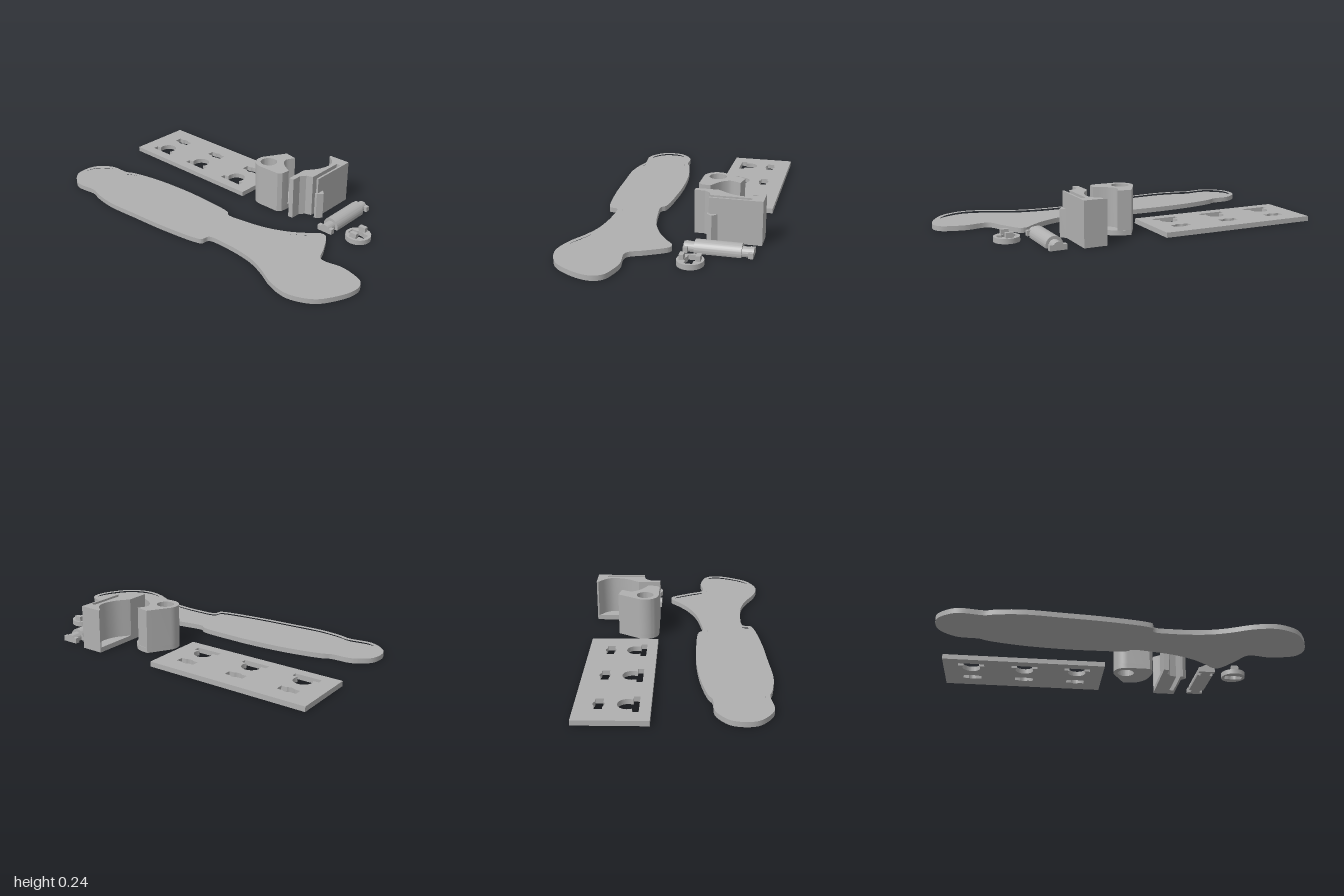
import * as THREE from 'three';
import { toCreasedNormals } from 'three/addons/utils/BufferGeometryUtils.js';

const plastic = new THREE.MeshStandardMaterial({ color: 0xb0b0b0 });
plastic.name = 'grey plastic';

// Plan outlines are written as [x, z]; shapes hold (x, -z).
const toPoints = (plan) => plan.map(([x, z]) => new THREE.Vector2(x, -z));

function mesh(name, geometry) {
  const m = new THREE.Mesh(toCreasedNormals(geometry, 0.6), plastic);
  m.name = name;
  return m;
}

// Extrude a plan outline (with optional holes) upward from y0 to y1.
function slab(name, outline, y0, y1, holes = []) {
  const shape = new THREE.Shape(outline);
  holes.forEach((h) => shape.holes.push(new THREE.Path(h)));
  const g = new THREE.ExtrudeGeometry(shape, { depth: y1 - y0, bevelEnabled: false });
  g.rotateX(-Math.PI / 2);
  g.translate(0, y0, 0);
  return mesh(name, g);
}

function box(name, x0, x1, y0, y1, z0, z1) {
  const g = new THREE.BoxGeometry(x1 - x0, y1 - y0, z1 - z0);
  g.translate((x0 + x1) / 2, (y0 + y1) / 2, (z0 + z1) / 2);
  return mesh(name, g);
}

// Points along an arc in plan; angles in degrees, 90 points to the back (-z).
function arc(cx, cz, r, a0, a1, n = 24) {
  return Array.from({ length: n + 1 }, (_, i) => {
    const a = THREE.MathUtils.degToRad(a0 + ((a1 - a0) * i) / n);
    return [cx + r * Math.cos(a), cz - r * Math.sin(a)];
  });
}

const circle = (cx, cz, r) => toPoints(arc(cx, cz, r, 0, 360, 40).slice(0, -1));

function spline(plan, closed, n) {
  const curve = new THREE.CatmullRomCurve3(
    plan.map(([x, z]) => new THREE.Vector3(x, 0, z)), closed, 'centripetal');
  const pts = curve.getPoints(n).map((p) => [p.x, p.z]);
  return closed ? pts.slice(0, -1) : pts;
}

// Mitred inset of an outline that runs clockwise in plan.
function inset(plan, d) {
  const n = plan.length;
  const normal = (a, b) => {
    const dx = b[0] - a[0], dz = b[1] - a[1], l = Math.hypot(dx, dz);
    return [-dz / l, dx / l];
  };
  return plan.map((p, i) => {
    const a = normal(plan[(i + n - 1) % n], p);
    const b = normal(p, plan[(i + 1) % n]);
    const k = d / Math.max(0.5, 1 + a[0] * b[0] + a[1] * b[1]);
    return [p[0] + (a[0] + b[0]) * k, p[1] + (a[1] + b[1]) * k];
  });
}

// Rectangular slot with a round middle.
function slotHole(cx, cz, w, d, r) {
  const a = THREE.MathUtils.radToDeg(Math.asin(d / r));
  return toPoints([
    [cx + w, cz + d], [cx + w, cz - d], ...arc(cx, cz, r, a, 180 - a, 10),
    [cx - w, cz - d], [cx - w, cz + d], ...arc(cx, cz, r, 180 + a, 360 - a, 10),
  ]);
}

function tray() {
  const g = new THREE.Group();
  g.name = 'handleTray';
  const rim = [
    [-1, 0.32], [-0.985, 0.257], [-0.94, 0.21], [-0.89, 0.183], [-0.78, 0.175], [-0.74, 0.155],
    [-0.557, 0.115], [-0.34, 0.096], [-0.18, 0.096], [0.027, 0.112], [0.053, 0.134], [0.166, 0.123],
    [0.3, 0.094], [0.418, 0.043], [0.503, -0.016], [0.557, -0.061], [0.589, -0.061], [0.61, -0.04],
    [0.664, 0.054], [0.712, 0.139], [0.835, 0.128], [0.91, 0.14], [0.974, 0.166], [0.999, 0.21],
    [0.995, 0.273], [0.958, 0.36], [0.905, 0.434], [0.835, 0.476], [0.755, 0.494], [0.648, 0.471],
    [0.54, 0.418], [0.45, 0.385], [0.353, 0.369], [0.246, 0.364], [0.134, 0.375], [0.123, 0.418],
    [0.086, 0.434], [-0.128, 0.466], [-0.343, 0.482], [-0.557, 0.494], [-0.69, 0.476],
    [-0.744, 0.46], [-0.878, 0.471], [-0.948, 0.434], [-0.99, 0.385],
  ];
  const outer = toPoints(spline(rim, true, 240));
  const inner = toPoints(spline(inset(rim, 0.025), true, 240));
  g.add(slab('trayFloor', outer, 0, 0.012));
  g.add(slab('trayWall', outer, 0.012, 0.028, [inner]));
  return g;
}

function wallPlate() {
  const holes = [];
  for (const x of [-0.84, -0.533, -0.225]) {
    holes.push(slotHole(x, -0.375, 0.053, 0.021, 0.03));
    // keyhole: round opening over a wide slot
    holes.push(toPoints([[x + 0.075, -0.177], [x + 0.075, -0.209],
      ...arc(x, -0.235, 0.051, -30, 210), [x - 0.075, -0.209], [x - 0.075, -0.177]]));
  }
  const edge = toPoints([[-1, -0.12], [-0.07, -0.12], [-0.07, -0.495], [-1, -0.495]]);
  return slab('wallPlate', edge, 0, 0.028, holes);
}

function pivotBlock() {
  const g = new THREE.Group();
  g.name = 'pivotBlock';
  const left = [[0.07, -0.355], ...arc(0.065, -0.197, 0.076, 150, 270, 16)];
  const front = [[0.195, -0.121], [0.215, -0.14], [0.22, -0.18]];
  const hole = circle(0.063, -0.2, 0.048);
  const back = spline([[0.22, -0.18], [0.215, -0.23], [0.19, -0.3], [0.14, -0.343], [0.07, -0.355]], false, 20);
  const hollow = spline([[0.22, -0.19], [0.175, -0.215], [0.138, -0.245], [0.12, -0.285], [0.145, -0.34]], false, 20);
  g.add(slab('pivotBase', toPoints([...left, ...front, ...back.slice(1, -1)]), 0, 0.028, [hole]));
  g.add(slab('pivotBody', toPoints([...left, ...front, ...hollow]), 0.028, 0.245, [hole]));
  return g;
}

function clip() {
  const g = new THREE.Group();
  g.name = 'springClip';
  // closed side, curved pocket on -x, slot between the back and the spring arm
  const right = [[0.28, -0.122], [0.31, -0.122], [0.31, -0.178], [0.332, -0.208], [0.37, -0.22],
    [0.37, -0.443], [0.396, -0.443], [0.396, -0.22], [0.408, -0.22], [0.408, -0.505], [0.28, -0.505]];
  const pocket = spline([[0.28, -0.495], [0.33, -0.452], [0.348, -0.41], [0.333, -0.33], [0.28, -0.25]], false, 20);
  g.add(slab('clipBase', toPoints(right), 0, 0.028));
  g.add(slab('clipBody', toPoints([...right, ...pocket]), 0.028, 0.245));
  g.add(slab('clipBarb', toPoints([[0.396, -0.21], [0.41, -0.21], [0.435, -0.24], [0.408, -0.268], [0.396, -0.268]]), 0, 0.155));
  return g;
}

function pin() {
  const g = new THREE.Group();
  g.name = 'hingePin';
  const x = 0.537;
  // round bar with a flat underside, lying along z
  const bar = (name, r, cy, z0, z1) => {
    const a = Math.asin(cy / r);
    const s = new THREE.Shape().absarc(0, cy, r, -a, Math.PI + a, false);
    const geo = new THREE.ExtrudeGeometry(s, { depth: z1 - z0, bevelEnabled: false, curveSegments: 24 });
    geo.translate(x, 0, z0);
    g.add(mesh(name, geo));
  };
  bar('pinBody', 0.047, 0.014, -0.425, -0.18);
  bar('pinNeck', 0.031, 0.014, -0.485, -0.122);
  for (const [z0, z1] of [[-0.485, -0.46], [-0.147, -0.122]]) {
    g.add(box('pinKey', x - 0.047, x + 0.047, 0, 0.03, z0, z1));
  }
  return g;
}

function washer() {
  const g = new THREE.Group();
  g.name = 'lockWasher';
  const x = 0.712, z = -0.193;
  g.add(slab('washerDisc', circle(x, z, 0.07), 0, 0.028, [slotHole(x, z, 0.052, 0.021, 0.03)]));
  for (const s of [-1, 1]) {
    g.add(box('washerTab', x - 0.021, x + 0.021, 0.02, 0.056, z + s * 0.043 - 0.012, z + s * 0.043 + 0.012));
  }
  return g;
}

export function createModel() {
  const model = new THREE.Group();
  model.name = 'holderKit';
  model.add(tray(), wallPlate(), pivotBlock(), clip(), pin(), washer());
  return model;
}
